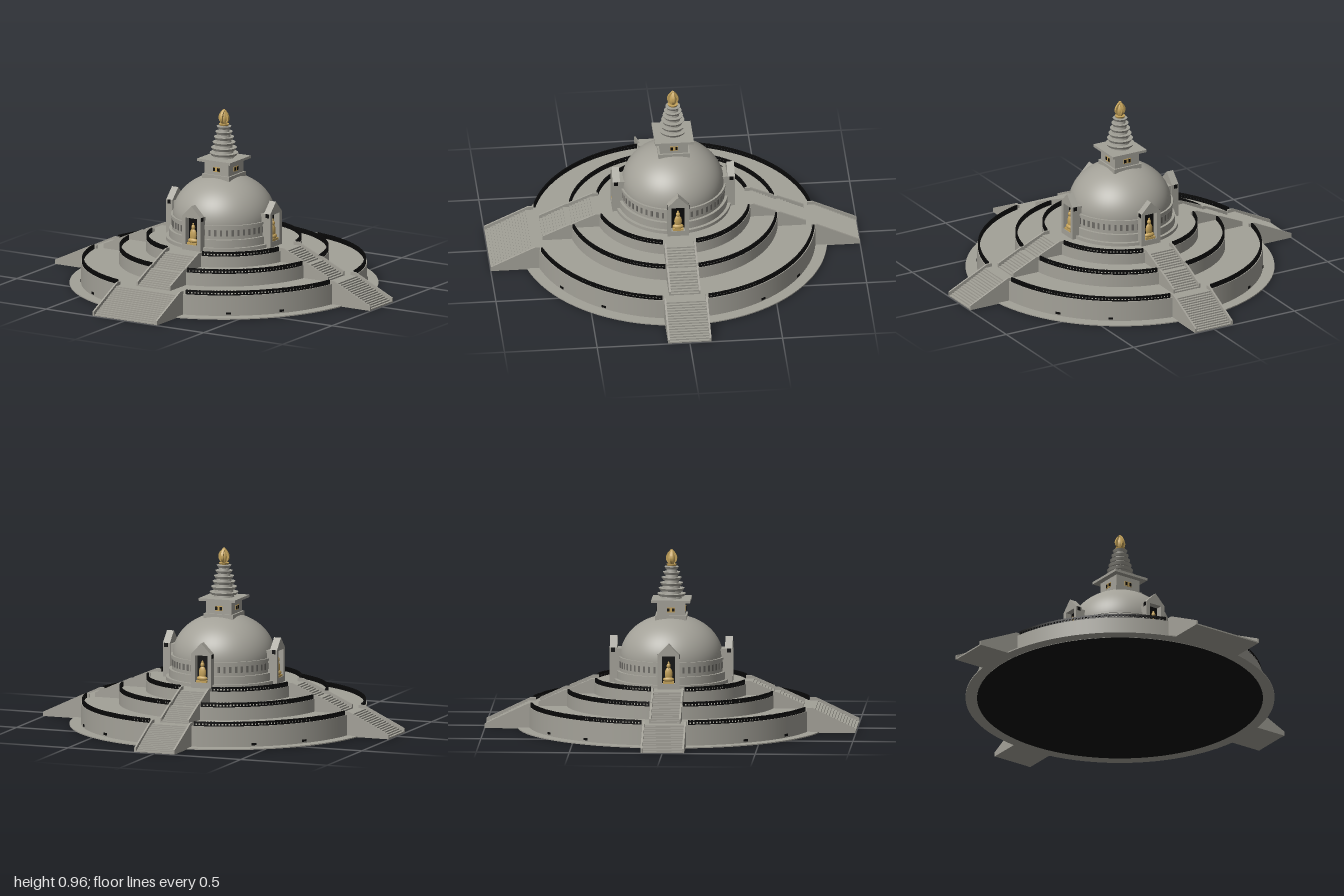
import * as THREE from 'three';
import { mergeGeometries } from 'three/addons/utils/BufferGeometryUtils.js';

const mat = (name, color) => Object.assign(new THREE.MeshStandardMaterial({ color }), { name });

export function createModel() {
  const stone = mat('stone', 0xa3a198);
  const darkStone = mat('dark stone', 0x6c6a65);
  const black = mat('black', 0x080808);
  const gold = mat('gold', 0xc4a25a);
  const model = new THREE.Group();
  model.name = 'domedMonument';

  const add = (parent, name, geometry, material) => {
    const mesh = new THREE.Mesh(geometry, material);
    mesh.name = name;
    parent.add(mesh);
    return mesh;
  };
  const box = (w, h, d, x, y, z) => new THREE.BoxGeometry(w, h, d).translate(x, y, z);
  const drum = (rTop, rBottom, y0, y1, n = 96) =>
    new THREE.CylinderGeometry(rTop, rBottom, y1 - y0, n).translate(0, (y0 + y1) / 2, 0);
  // outline in (distance from centre, height), extruded sideways between x0 and x1
  const sideways = (points, x0, x1) =>
    new THREE.ExtrudeGeometry(new THREE.Shape(points.map(p => new THREE.Vector2(...p))),
      { depth: x1 - x0, bevelEnabled: false }).rotateY(-Math.PI / 2).translate(x1, 0, 0);
  // boxes repeated around the axis
  const ringOfBoxes = (angles, r, y, w, h, d) =>
    mergeGeometries(angles.map(a => box(w, h, d, 0, y, r).rotateY(a)));

  // Round terraces
  add(model, 'underside', new THREE.CircleGeometry(0.768, 96).rotateX(Math.PI / 2), black);
  add(model, 'groundSkirt', drum(0.83, 0.83, 0.002, 0.008), stone);
  add(model, 'lowerTerrace', drum(0.768, 0.768, 0.001, 0.12), stone);
  add(model, 'middleTerrace', drum(0.565, 0.565, 0.12, 0.19), stone);
  add(model, 'upperTerrace', drum(0.42, 0.42, 0.19, 0.25), stone);
  const vents = [];
  for (let k = 0; k < 4; k++) for (const d of [34, 56]) vents.push((k * 90 + d) * Math.PI / 180);
  add(model, 'wallVents', ringOfBoxes(vents, 0.768, 0.022, 0.026, 0.012, 0.006), black);

  // Railings, open where the four stairs arrive
  const railing = (name, r, y, frontGap, gap) => {
    const parts = [];
    for (let k = 0; k < 4; k++) {
      const a0 = k * Math.PI / 2 + Math.asin((k === 0 ? frontGap : gap) / r);
      const a1 = (k + 1) * Math.PI / 2 - Math.asin((k === 3 ? frontGap : gap) / r);
      const arc = new THREE.Shape();
      arc.absarc(0, 0, r + 0.005, a0 - Math.PI / 2, a1 - Math.PI / 2, false);
      arc.absarc(0, 0, r - 0.005, a1 - Math.PI / 2, a0 - Math.PI / 2, true);
      for (const [h, dy] of [[0.009, 0.014], [0.004, 0]]) {
        parts.push(new THREE.ExtrudeGeometry(arc, { depth: h, bevelEnabled: false, curveSegments: 30 })
          .rotateX(-Math.PI / 2).translate(0, y + dy, 0).toNonIndexed());
      }
      const n = Math.round((a1 - a0) * r / 0.018);
      const angles = Array.from({ length: n + 1 }, (_, i) => a0 + (a1 - a0) * i / n);
      parts.push(ringOfBoxes(angles, r, y + 0.012, 0.009, 0.024, 0.009).toNonIndexed());
    }
    add(model, name, mergeGeometries(parts), black);
  };
  railing('lowerRailing', 0.758, 0.12, 0.22, 0.13);
  railing('middleRailing', 0.557, 0.19, 0.115, 0.095);
  railing('upperRailing', 0.412, 0.25, 0.115, 0.095);

  // A flight of steps between two sloping side walls
  const stair = (parent, name, half, z0, z1, yTop, yBase, steps) => {
    const flight = new THREE.Group();
    flight.name = name;
    parent.add(flight);
    const inner = z0 - 0.03, run = (z1 - z0) / steps, rise = (yTop - yBase) / steps;
    const pts = [[inner, yBase], [z1, yBase]];
    for (let i = 0; i < steps; i++) {
      pts.push([z1 - i * run, yBase + (i + 1) * rise], [z1 - (i + 1) * run, yBase + (i + 1) * rise]);
    }
    pts.push([inner, yTop]);
    add(flight, 'steps', sideways(pts, -half + 0.008, half - 0.008), stone);
    const wall = [[inner, yBase], [z1 + 0.002, yBase], [z1 + 0.002, yBase + 0.024],
      [z0, yTop + 0.018], [inner, yTop + 0.018]];
    for (const s of [-1, 1]) {
      const c = s * (half - 0.005);
      add(flight, 'sideWall', sideways(wall, c - 0.005, c + 0.005), stone);
    }
  };

  // Shrine facing +z: gabled frame, dark recess and seated figure
  const shrine = parent => {
    const g = new THREE.Group();
    g.name = 'shrine';
    parent.add(g);
    const outline = new THREE.Shape([[-0.058, 0.25], [0.058, 0.25], [0.058, 0.435], [0, 0.495], [-0.058, 0.435]]
      .map(p => new THREE.Vector2(...p)));
    outline.holes.push(new THREE.Path([[-0.036, 0.28], [-0.036, 0.428], [0.036, 0.428], [0.036, 0.28]]
      .map(p => new THREE.Vector2(...p))));
    add(g, 'frame', new THREE.ExtrudeGeometry(outline, { depth: 0.04, bevelEnabled: false })
      .translate(0, 0, 0.29), stone);
    add(g, 'frameBack', box(0.1, 0.18, 0.04, 0, 0.34, 0.27), stone);
    add(g, 'recess', box(0.074, 0.15, 0.006, 0, 0.354, 0.292), black);
    for (const s of [-1, 1]) add(g, 'sideOpening', box(0.004, 0.022, 0.02, s * 0.058, 0.424, 0.312), black);
    const ball = (name, rx, ry, rz, y, z) =>
      add(g, name, new THREE.SphereGeometry(1, 16, 12).scale(rx, ry, rz).translate(0, y, z), gold);
    add(g, 'figureSeat', box(0.058, 0.012, 0.03, 0, 0.286, 0.312), gold);
    ball('figureLegs', 0.03, 0.014, 0.015, 0.302, 0.313);
    ball('figureBody', 0.021, 0.036, 0.012, 0.332, 0.31);
    ball('figureHead', 0.011, 0.015, 0.011, 0.375, 0.31);
    ball('figureTopknot', 0.005, 0.007, 0.005, 0.392, 0.31);
  };

  // Four sides; the front stairs are wider
  for (let k = 0; k < 4; k++) {
    const side = new THREE.Group();
    side.name = ['front', 'left', 'back', 'right'][k] + 'Side';
    side.rotation.y = k * Math.PI / 2;
    model.add(side);
    stair(side, 'lowerStair', k ? 0.117 : 0.205, 0.765, 0.998, 0.12, 0.002, 16);
    stair(side, 'middleStair', k ? 0.085 : 0.108, 0.57, 0.71, 0.19, 0.12, 9);
    stair(side, 'upperStair', k ? 0.085 : 0.108, 0.425, 0.55, 0.25, 0.19, 8);
    shrine(side);
    // Painted eyes on the square block
    add(side, 'eyePanel', box(0.044, 0.026, 0.004, 0, 0.645, 0.076), gold);
    for (const s of [-1, 1]) add(side, 'eye', box(0.013, 0.018, 0.004, s * 0.013, 0.645, 0.0775), black);
  }

  // Drum with mouldings and small niches
  add(model, 'drumPlinth', drum(0.312, 0.312, 0.25, 0.268), stone);
  add(model, 'drumBase', drum(0.295, 0.295, 0.268, 0.31), stone);
  add(model, 'drumWall', drum(0.28, 0.28, 0.31, 0.375), stone);
  add(model, 'drumCornice', drum(0.286, 0.286, 0.375, 0.387), stone);
  const niches = Array.from({ length: 56 }, (_, i) => (i + 0.5) * Math.PI / 28);
  add(model, 'drumNiches', ringOfBoxes(niches, 0.28, 0.345, 0.012, 0.034, 0.005), darkStone);

  // Dome
  add(model, 'dome', new THREE.SphereGeometry(0.275, 64, 24, 0, Math.PI * 2, 0, Math.PI / 2)
    .scale(1, 0.225 / 0.275, 1).translate(0, 0.385, 0), stone);

  // Square block and canopy
  add(model, 'blockBase', box(0.17, 0.025, 0.17, 0, 0.602, 0), stone);
  add(model, 'block', box(0.15, 0.075, 0.15, 0, 0.648, 0), stone);
  add(model, 'canopy', box(0.21, 0.014, 0.21, 0, 0.692, 0), stone);

  // Ringed spire
  add(model, 'spireCore', drum(0.024, 0.056, 0.695, 0.875, 32), stone);
  for (let i = 0; i < 6; i++) {
    const y = 0.712 + i * 0.029, r = 0.077 - i * 0.0075;
    add(model, 'spireRing', drum(r, r - 0.008, y, y + 0.014, 40), stone);
  }

  // Golden finial: collar, core and four leaf-shaped fins
  add(model, 'finialCollar', drum(0.028, 0.022, 0.87, 0.884, 24), gold);
  const core = [[0.012, 0.88], [0.019, 0.9], [0.02, 0.92], [0.012, 0.945], [0, 0.962]];
  add(model, 'finialCore', new THREE.LatheGeometry(core.map(p => new THREE.Vector2(...p)), 20), gold);
  const leaf = new THREE.Shape();
  leaf.moveTo(0, 0.878);
  leaf.bezierCurveTo(0.038, 0.895, 0.044, 0.93, 0, 0.965);
  leaf.bezierCurveTo(-0.044, 0.93, -0.038, 0.895, 0, 0.878);
  for (const a of [0, Math.PI / 2]) {
    add(model, 'finialFin', new THREE.ExtrudeGeometry(leaf, { depth: 0.012, bevelEnabled: false })
      .translate(0, 0, -0.006).rotateY(a), gold);
  }
  return model;
}
